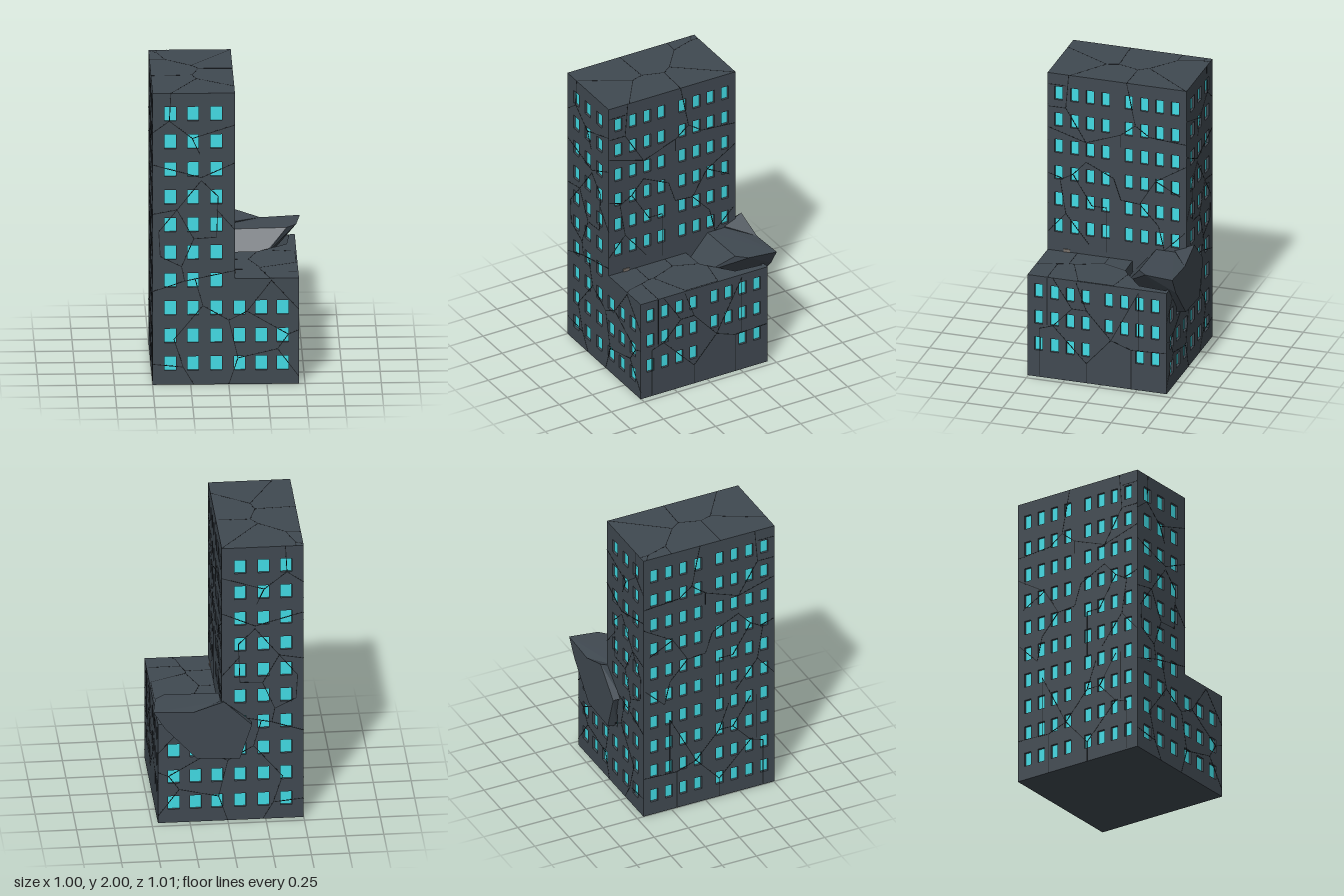
import * as THREE from 'three';
import { mergeGeometries } from 'three/addons/utils/BufferGeometryUtils.js';
import { ConvexGeometry } from 'three/addons/geometries/ConvexGeometry.js';

const mat = (color) => new THREE.MeshStandardMaterial({ color, flatShading: true });
const wallMat = mat(0x404951), glassMat = mat(0x42dce5), crackMat = mat(0x1c2024), stoneMat = mat(0x77706a);

// Main dimensions
const L = -0.5, M = 0.04, R = 0.46, BACK = -0.455, FRONT = 0.505, TOP = 2, LOW = 0.725;
const DEPTH = 0.018, PITCH = 0.1905;

function add(parent, name, geometry, material) {
  const m = new THREE.Mesh(geometry, material);
  m.name = name;
  parent.add(m);
  return m;
}

function box(parent, name, x0, x1, y0, y1, z0, z1, material) {
  const g = new THREE.BoxGeometry(x1 - x0, y1 - y0, z1 - z0);
  g.translate((x0 + x1) / 2, (y0 + y1) / 2, (z0 + z1) / 2);
  return add(parent, name, g, material);
}

// Thin dark strips along polylines on a face; s mirrors the first coordinate
function cracks(parent, lines, s = 1) {
  const parts = [];
  for (const line of lines) {
    for (let i = 1; i < line.length; i++) {
      const [ax, ay] = line[i - 1], [bx, by] = line[i];
      const dx = s * (bx - ax), dy = by - ay;
      const g = new THREE.BoxGeometry(Math.hypot(dx, dy), 0.005, 0.002);
      g.rotateZ(Math.atan2(dy, dx));
      g.translate(s * (ax + bx) / 2, (ay + by) / 2, 0);
      parts.push(g);
    }
  }
  return add(parent, 'cracks', mergeGeometries(parts), crackMat);
}

// Wall panel with window holes and recessed panes
function facade(name, outline, windows, w, h, lines, s) {
  const group = new THREE.Group();
  group.name = name;
  const corners = outline.map(([u, v]) => new THREE.Vector2(s * u, v));
  // A mirrored outline is reversed so that it stays counter-clockwise
  const shape = new THREE.Shape(s < 0 ? corners.reverse() : corners);
  const panes = [];
  for (const [u, v] of windows) {
    const x = s * u;
    const hole = [[-w, -h], [-w, h], [w, h], [w, -h]].map(([a, b]) => new THREE.Vector2(x + a / 2, v + b / 2));
    shape.holes.push(new THREE.Path(hole));
    panes.push(new THREE.PlaneGeometry(w, h).translate(x, v, -DEPTH + 0.002));
  }
  const g = new THREE.ExtrudeGeometry(shape, { depth: DEPTH, bevelEnabled: false });
  add(group, 'wallPanel', g.translate(0, 0, -DEPTH), wallMat);
  add(group, 'windowPanes', mergeGeometries(panes), glassMat);
  cracks(group, lines, s);
  return group;
}

const grid = (cols, rows, y0) =>
  cols.flatMap((c) => Array.from({ length: rows }, (_, i) => [c, y0 + i * PITCH]));

// Crack layouts
const frontCracks = [
  [[-0.5, 1.73], [-0.39, 1.81], [-0.38, 2]], [[-0.39, 1.81], [-0.24, 1.69], [0.04, 1.78]], [[-0.24, 1.69], [-0.19, 1.58]],
  [[-0.5, 1.51], [-0.18, 1.42], [0.04, 1.52]], [[-0.18, 1.4], [-0.34, 1.2], [-0.5, 1.17]],
  [[-0.18, 1.4], [-0.07, 1.29], [-0.08, 1.01], [-0.23, 1], [-0.34, 1.2], [-0.46, 1.05], [-0.45, 0.88], [-0.31, 0.81], [-0.23, 1]],
  [[-0.08, 1.2], [0.04, 1.06]], [[-0.5, 0.64], [-0.29, 0.71], [-0.31, 0.81]], [[-0.29, 0.71], [0.04, 0.78]],
  [[-0.22, 0.72], [-0.17, 0.54], [-0.36, 0.31], [-0.3, 0.12], [-0.5, 0.14]], [[-0.3, 0.12], [-0.23, 0]],
  [[-0.17, 0.54], [0, 0.44], [0.06, 0.18], [0, 0]], [[0, 0.44], [0.12, 0.5], [0.28, 0.71], [0.46, 0.51]],
  [[0.06, 0.18], [0.32, 0.24], [0.46, 0.05]], [[0.12, 0.5], [0.39, 0.34], [0.46, 0.37]], [[0.39, 0.34], [0.32, 0.24]],
];
const upperSideCracks = [
  [[0.5, 1.92], [0.38, 1.92]], [[0.5, 1.76], [0.38, 1.76], [0.36, 2]],
  [[0.38, 1.76], [0.24, 1.53], [0, 1.62], [-0.1, 1.7], [-0.04, 2]], [[-0.1, 1.7], [-0.2, 1.63], [-0.45, 1.61]],
  [[0.5, 1.61], [0.24, 1.53]], [[0, 1.62], [0, 1.53]],
  [[0.5, 1.28], [0.4, 1.25], [0.33, 1.29], [0.24, 1.39], [0.05, 1.3], [0, 1.15], [-0.13, 1.14], [-0.24, 1.32], [-0.45, 1.45]],
  [[0.33, 1.29], [0.2, 1.08], [0.1, 1.08], [0.1, 0.76]], [[0.5, 0.86], [0.38, 1], [0.22, 0.8]],
  [[0.42, 1.25], [0.38, 1]], [[-0.13, 1.14], [-0.26, 1], [-0.3, 0.83], [-0.44, 0.97]], [[-0.24, 1.32], [-0.41, 1.23]],
];
const lowerSideCracks = [
  [[0.42, 0.01], [0.42, 0.35], [0.33, 0.38], [0.2, 0.52], [0.1, 0.52], [-0.07, 0.33], [0.1, 0.14], [0.33, 0.38]],
  [[0.1, 0], [0.1, 0.14]], [[-0.07, 0.33], [-0.21, 0.28], [-0.21, 0]], [[-0.21, 0.28], [-0.45, 0.29]],
  [[0.1, 0.52], [0.17, 0.71]], [[0.33, 0.72], [0.2, 0.52]], [[-0.07, 0.33], [-0.26, 0.7], [-0.26, 0.28]], [[0.37, 0.72], [0.37, 0.38]],
];
// Roof layouts use x and -z
const towerRoofCracks = [
  [[-0.5, 0.25], [-0.4, 0.245], [-0.23, 0.11], [0.04, 0.45]], [[-0.4, 0.245], [-0.45, 0.4], [-0.45, 0.455]],
  [[-0.45, 0.4], [-0.5, 0.43]], [[-0.23, 0.11], [-0.185, 0.045], [0.04, 0.04]],
  [[-0.185, 0.045], [-0.23, -0.1], [-0.5, -0.11]], [[-0.23, -0.1], [-0.205, -0.18], [0.04, -0.35]], [[-0.205, -0.18], [-0.38, -0.5]],
];
const wingRoofCracks = [
  [[0.04, -0.08], [0.14, -0.08], [0.21, -0.26], [0.21, -0.3], [0.235, -0.37], [0.26, -0.47], [0.28, -0.5]],
  [[0.14, -0.08], [0.2, 0.08]], [[0.04, -0.3], [0.21, -0.3]], [[0.235, -0.37], [0.45, -0.37]],
  [[0.21, -0.265], [0.45, -0.16], [0.45, 0.085], [0.25, 0.12]],
];

export function createModel() {
  const model = new THREE.Group();
  model.name = 'damagedBuilding';

  // Solid cores behind the wall panels
  const d = DEPTH, PIT = 0.6;
  box(model, 'towerCore', L + d, M - d, 0, TOP, BACK + d, FRONT - d, wallMat);
  box(model, 'wingCore', M - d, R - d, 0, PIT, BACK + d, FRONT - d, wallMat);

  // Wing roof slab, open where the corner block broke out
  const plan = [[M - d, d - FRONT], [R - d, d - FRONT], [R - d, -BACK - d], [0.42, -BACK - d],
    [0.4, 0.245], [0.25, 0.12], [0.2, 0.085], [M - d, 0.08]];
  const slab = new THREE.ExtrudeGeometry(new THREE.Shape(plan.map((p) => new THREE.Vector2(...p))),
    { depth: LOW - PIT, bevelEnabled: false });
  add(model, 'wingRoof', slab.rotateX(-Math.PI / 2).translate(0, PIT, 0), wallMat);

  // Front and back walls
  const ell = [[L, 0], [R, 0], [R, LOW], [M, LOW], [M, TOP], [L, TOP]];
  const endWindows = [...grid([-0.385, -0.235, -0.082], 10, 0.145), ...grid([0.07, 0.212, 0.355], 3, 0.145)];
  const front = facade('frontWall', ell, endWindows, 0.075, 0.097, frontCracks, 1);
  front.position.z = FRONT;
  const back = facade('backWall', ell, endWindows, 0.075, 0.097, frontCracks, -1);
  back.position.z = BACK;
  back.rotation.y = Math.PI;

  // Side walls
  const rect = (y0, y1) => [[BACK, y0], [FRONT, y0], [FRONT, y1], [BACK, y1]];
  const cols = [0.43, 0.32, 0.212, 0.105, -0.055, -0.162, -0.268, -0.375];
  const upper = facade('towerLeftWall', rect(PIT, TOP), grid(cols, 6, 0.908), 0.054, 0.095, upperSideCracks, -1);
  upper.position.x = M;
  const wingWindows = grid(cols, 3, 0.238).filter(([u, v]) => !(v < 0.3 && u < 0 && u > -0.2));
  const lower = facade('wingLeftWall', rect(0, LOW), wingWindows, 0.054, 0.095, lowerSideCracks, -1);
  lower.position.x = R;
  upper.rotation.y = lower.rotation.y = Math.PI / 2;
  const right = facade('towerRightWall', rect(0, TOP), grid(cols, 10, 0.145), 0.054, 0.095,
    [...upperSideCracks, ...lowerSideCracks], 1);
  right.position.x = L;
  right.rotation.y = -Math.PI / 2;
  model.add(front, back, upper, lower, right);

  // Cracks across the two roofs
  for (const [lines, y] of [[towerRoofCracks, TOP], [wingRoofCracks, LOW]]) {
    const c = cracks(model, lines);
    c.rotation.x = -Math.PI / 2;
    c.position.y = y - 0.0005;
  }

  // Broken block thrust out of the wing's back corner
  const hull = (name, pts) => add(model, name, new ConvexGeometry(pts.map((p) => new THREE.Vector3(...p))), wallMat);
  hull('brokenBlock', [
    [0.235, 0.828, -0.505], [0.495, 0.842, -0.505], [0.465, 0.84, -0.31], [0.4, 0.838, -0.245],
    [0.03, 0.83, -0.245], [0.03, 0.83, -0.365], [0.03, 0.64, -0.08], [0.2, 0.65, -0.09], [0.25, 0.68, -0.12],
    [0.42, 0.72, -0.505], [0.21, 0.49, -0.505], [-0.075, 0.475, -0.505], [-0.155, 0.72, -0.505],
    [0.2, 0.48, -0.44], [-0.075, 0.46, -0.44],
  ]);
  hull('brokenSpike', [
    [0.03, 0.898, -0.505], [0.235, 0.828, -0.505], [0.03, 0.84, -0.365], [-0.155, 0.72, -0.505],
    [-0.155, 0.72, -0.44], [0.05, 0.6, -0.505],
  ]);

  // Small loose stone by the tower
  box(model, 'looseStone', 0.035, 0.046, 0.71, 0.745, 0.35, 0.395, stoneMat);
  return model;
}
